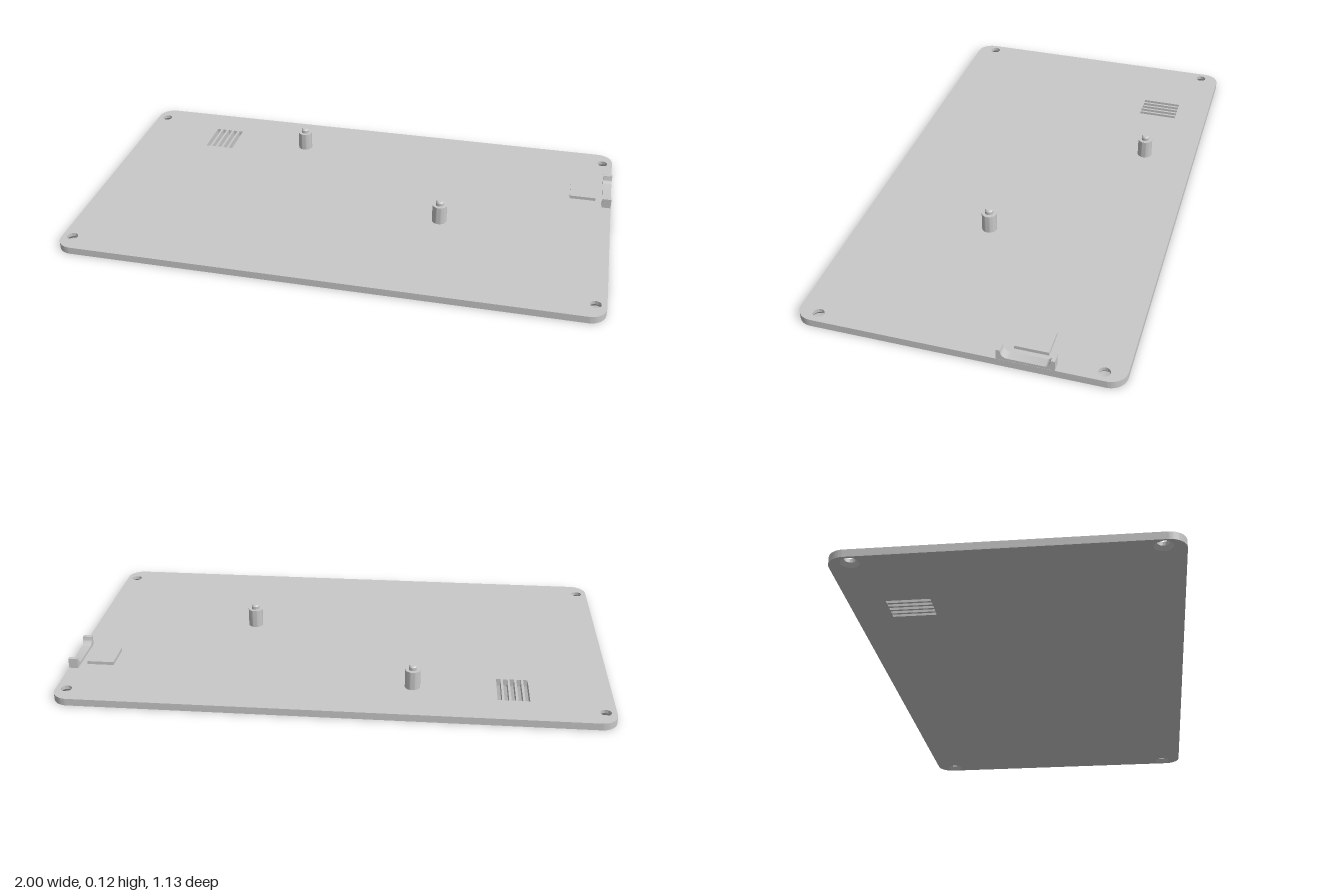
import * as THREE from 'three';
import { toCreasedNormals } from 'three/addons/utils/BufferGeometryUtils.js';

export function createModel() {
  const model = new THREE.Group();
  model.name = 'panel';
  const grey = new THREE.MeshStandardMaterial({ color: 0xc8c8c8 });
  grey.name = 'light grey plastic';

  const T = 0.027; // plate thickness
  const add = (name, geometry) => {
    const mesh = new THREE.Mesh(geometry, grey);
    mesh.name = name;
    model.add(mesh);
    return mesh;
  };

  // Rounded plate outline, drawn with shape y = -z
  const W = 1, D = 0.566, R = 0.06;
  const outline = new THREE.Shape();
  outline.absarc(W - R, D - R, R, 0, Math.PI / 2);
  outline.absarc(R - W, D - R, R, Math.PI / 2, Math.PI);
  outline.absarc(R - W, R - D, R, Math.PI, Math.PI * 1.5);
  outline.absarc(W - R, R - D, R, Math.PI * 1.5, Math.PI * 2);
  outline.closePath();

  // Screw holes in the corners
  const screws = [];
  for (const x of [-0.961, 0.961]) for (const z of [-0.492, 0.492]) screws.push([x, z]);
  const holeR = 0.02, sinkR = 0.031;
  for (const [x, z] of screws) {
    outline.holes.push(new THREE.Path().absarc(x, -z, holeR, 0, Math.PI * 2, true));
  }

  // Five vent slots
  for (let i = 0; i < 5; i++) {
    const x = -0.704 + i * 0.0247, w = 0.016;
    const slot = new THREE.Path();
    slot.moveTo(x, 0.285).lineTo(x, 0.437).lineTo(x + w, 0.437).lineTo(x + w, 0.285).closePath();
    outline.holes.push(slot);
  }

  // Plate, with the screw holes widened underneath as countersinks
  const plate = new THREE.ExtrudeGeometry(outline, { depth: T, steps: 2, curveSegments: 14, bevelEnabled: false });
  plate.rotateX(-Math.PI / 2);
  const p = plate.attributes.position;
  for (let i = 0; i < p.count; i++) {
    if (p.getY(i) > 0.001) continue;
    for (const [x, z] of screws) {
      const dx = p.getX(i) - x, dz = p.getZ(i) - z;
      if (Math.hypot(dx, dz) < holeR + 0.002) {
        p.setX(i, x + dx * sinkR / holeR);
        p.setZ(i, z + dz * sinkR / holeR);
        break;
      }
    }
  }
  add('plate', toCreasedNormals(plate, 0.5));

  // Standoffs with a chamfered locating pin
  const profile = [[0.028, T - 0.004], [0.028, 0.098], [0.015, 0.098], [0.015, 0.11], [0.011, 0.115], [0, 0.115]]
    .map(([r, y]) => new THREE.Vector2(r, y));
  for (const [x, z] of [[-0.285, -0.367], [0.361, 0.086]]) {
    add('standoff', toCreasedNormals(new THREE.LatheGeometry(profile, 28), 0.5)).position.set(x, 0, z);
  }

  // Raised square pad behind the cable cradle
  const pad = add('pad', new THREE.BoxGeometry(0.1, 0.016, 0.118));
  pad.position.set(0.89, 0.031, -0.246);

  // Cable cradle on the left edge, profile drawn with shape x = -z
  const saddle = new THREE.Shape();
  saddle.moveTo(0.144, T - 0.004).lineTo(0.34, T - 0.004).lineTo(0.34, 0.065).lineTo(0.326, 0.065);
  saddle.quadraticCurveTo(0.324, 0.036, 0.3, 0.036);
  saddle.lineTo(0.184, 0.036);
  saddle.quadraticCurveTo(0.16, 0.036, 0.158, 0.065);
  saddle.lineTo(0.144, 0.065).closePath();
  const cradle = new THREE.ExtrudeGeometry(saddle, { depth: 0.034, curveSegments: 10, bevelEnabled: false });
  cradle.rotateY(Math.PI / 2);
  add('cableCradle', toCreasedNormals(cradle, 0.5)).position.x = 0.9655;

  return model;
}
